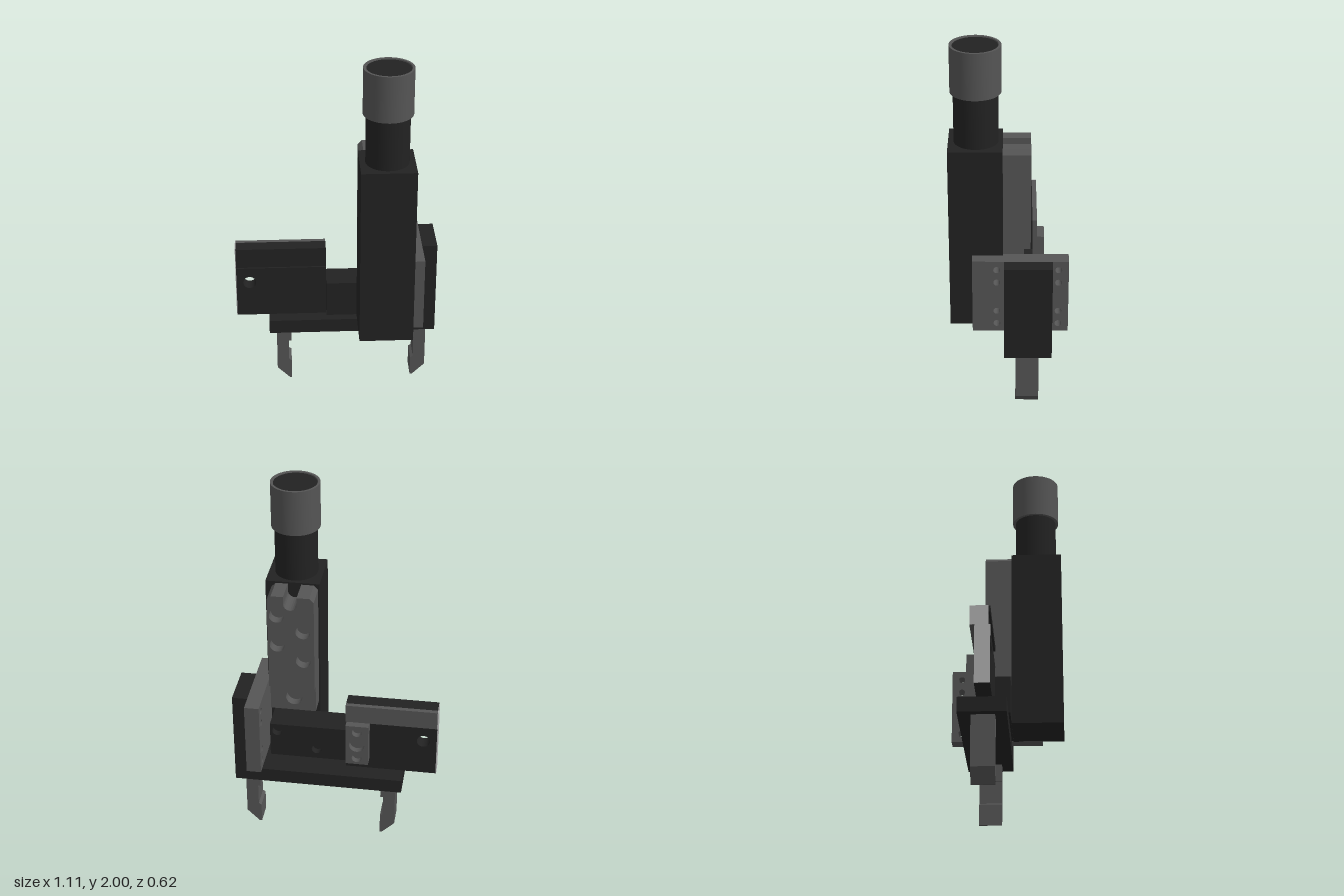
import * as THREE from 'three';

const black = new THREE.MeshStandardMaterial({ color: 0x222222 });
black.name = 'black anodised';
const grey = new THREE.MeshStandardMaterial({ color: 0x555555 });
grey.name = 'grey steel';
const light = new THREE.MeshStandardMaterial({ color: 0xb0b0b0 });
light.name = 'light cut end';

export function createModel() {
  const model = new THREE.Group();
  model.name = 'linearGripper';

  const add = (name, geometry, material, parent = model) => {
    const mesh = new THREE.Mesh(geometry, material);
    mesh.name = name;
    parent.add(mesh);
    return mesh;
  };

  // Box given by its limits on each axis
  const box = (name, material, x0, x1, y0, y1, z0, z1) => {
    const mesh = add(name, new THREE.BoxGeometry(x1 - x0, y1 - y0, z1 - z0), material);
    mesh.position.set((x0 + x1) / 2, (y0 + y1) / 2, (z0 + z1) / 2);
    return mesh;
  };

  // Outline in x, y with round holes [x, y, radius], extruded from z0 to z1
  const plateGeometry = (points, holes, z0, z1) => {
    const shape = new THREE.Shape(points.map(([x, y]) => new THREE.Vector2(x, y)));
    for (const [x, y, r] of holes) {
      const hole = new THREE.Path();
      hole.absarc(x, y, r, 0, Math.PI * 2, true);
      shape.holes.push(hole);
    }
    return new THREE.ExtrudeGeometry(shape, { depth: z1 - z0, bevelEnabled: false, curveSegments: 16 })
      .translate(0, 0, z0);
  };
  const rect = (x0, x1, y0, y1) => [[x0, y0], [x1, y0], [x1, y1], [x0, y1]];
  const plate = (name, material, points, holes, z0, z1) =>
    add(name, plateGeometry(points, holes, z0, z1), material);

  // Upright drive column with neck and hollow cap
  box('column', black, 0.112, 0.403, 0.465, 1.477, 0.03, 0.31);
  const neck = add('neck', new THREE.CylinderGeometry(0.115, 0.115, 0.52, 48), black);
  neck.position.set(0.257, 1.735, 0.167);
  const capProfile = [[0.115, 1.75], [0.131, 1.75], [0.131, 1.75], [0.131, 2], [0.131, 2],
    [0.118, 2], [0.118, 2], [0.115, 1.99]].map(([r, y]) => new THREE.Vector2(r, y));
  const cap = add('cap', new THREE.LatheGeometry(capProfile, 48), grey);
  cap.position.set(0.257, 0, 0.167);

  // Mounting plate behind the column, with a round notch on top and blind holes
  const plateOutline = [[0.12, 0.905], [0.37, 0.905], [0.37, 1.445], [0.348, 1.468], [0.282, 1.468]];
  for (let i = 0; i <= 10; i++) {
    const a = -Math.PI * i / 10;
    plateOutline.push([0.246 + 0.036 * Math.cos(a), 1.425 + 0.036 * Math.sin(a)]);
  }
  plateOutline.push([0.21, 1.468], [0.142, 1.468], [0.12, 1.445]);
  const mountHoles = [[0.32, 1.35, 0.04], [0.32, 1.17, 0.04], [0.18, 1.26, 0.04], [0.18, 1.08, 0.04]];
  plate('mountPlateFace', grey, plateOutline, mountHoles, -0.115, -0.06);
  plate('mountPlateBase', grey, plateOutline, [], -0.06, 0.03);
  plate('mountFootFace', grey, rect(0.12, 0.37, 0.74, 0.905), [[0.24, 0.82, 0.045]], -0.08, -0.03);
  box('mountFootBase', grey, 0.12, 0.37, 0.74, 0.905, -0.03, 0.03);

  // Horizontal body under the column, with blind holes at the back
  plate('bodyFace', black, rect(-0.055, 0.37, 0.46, 0.665),
    [[0.33, 0.62, 0.028], [0.11, 0.52, 0.028]], -0.13, -0.09);
  box('body', black, -0.055, 0.37, 0.46, 0.665, -0.09, 0.03);

  // Side rail: stepped front, grooved, with one through hole
  const railHole = [[-0.48, 0.635, 0.036]];
  plate('railCore', black, rect(-0.553, -0.055, 0.425, 0.845), railHole, -0.13, -0.06);
  plate('railFront', black, rect(-0.553, -0.055, 0.425, 0.725), railHole, -0.06, -0.05);
  box('railLip', black, -0.553, -0.055, 0.81, 0.845, -0.06, -0.05);
  box('railBackStrip', grey, -0.553, -0.055, 0.74, 0.845, -0.155, -0.13);
  box('railUpperEnd', light, -0.557, -0.553, 0.74, 0.845, -0.155, -0.06);
  box('railLowerEnd', light, -0.557, -0.553, 0.425, 0.74, -0.13, -0.05);

  // Small screw block on the back of the rail
  plate('screwBlockFace', grey, rect(-0.185, -0.06, 0.49, 0.74),
    [[-0.122, 0.615, 0.042], [-0.122, 0.7, 0.027], [-0.122, 0.53, 0.027]], -0.195, -0.16);
  box('screwBlockBase', grey, -0.185, -0.06, 0.49, 0.74, -0.16, -0.13);

  // Drilled side plate facing +x
  const sideHoles = [];
  for (const z of [0.062, -0.26]) {
    for (const y of [0.835, 0.76, 0.588, 0.512]) sideHoles.push([-z, y, 0.018]);
  }
  const side = plateGeometry(rect(-0.19, 0.313, 0.465, 0.885), sideHoles, 0.39, 0.47);
  add('sidePlate', side.rotateY(Math.PI / 2), grey);

  // L-shaped carrier: bar and upright arm in one outline
  plate('carrier', black, [[-0.375, 0.345], [0.553, 0.345], [0.553, 0.885],
    [0.47, 0.885], [0.47, 0.425], [-0.375, 0.425]], [], -0.228, 0.024);

  // Two hooked fingers, mirrored about the carrier's middle
  const finger = [[-0.335, 0.345], [-0.335, 0.07], [-0.265, 0], [-0.253, 0], [-0.253, 0.115],
    [-0.268, 0.125], [-0.268, 0.25], [-0.253, 0.25], [-0.253, 0.345]];
  plate('rightFinger', grey, finger, [], -0.16, -0.036);
  plate('leftFinger', grey, finger.map(([x, y]) => [0.175 - x, y]), [], -0.16, -0.036);

  return model;
}
